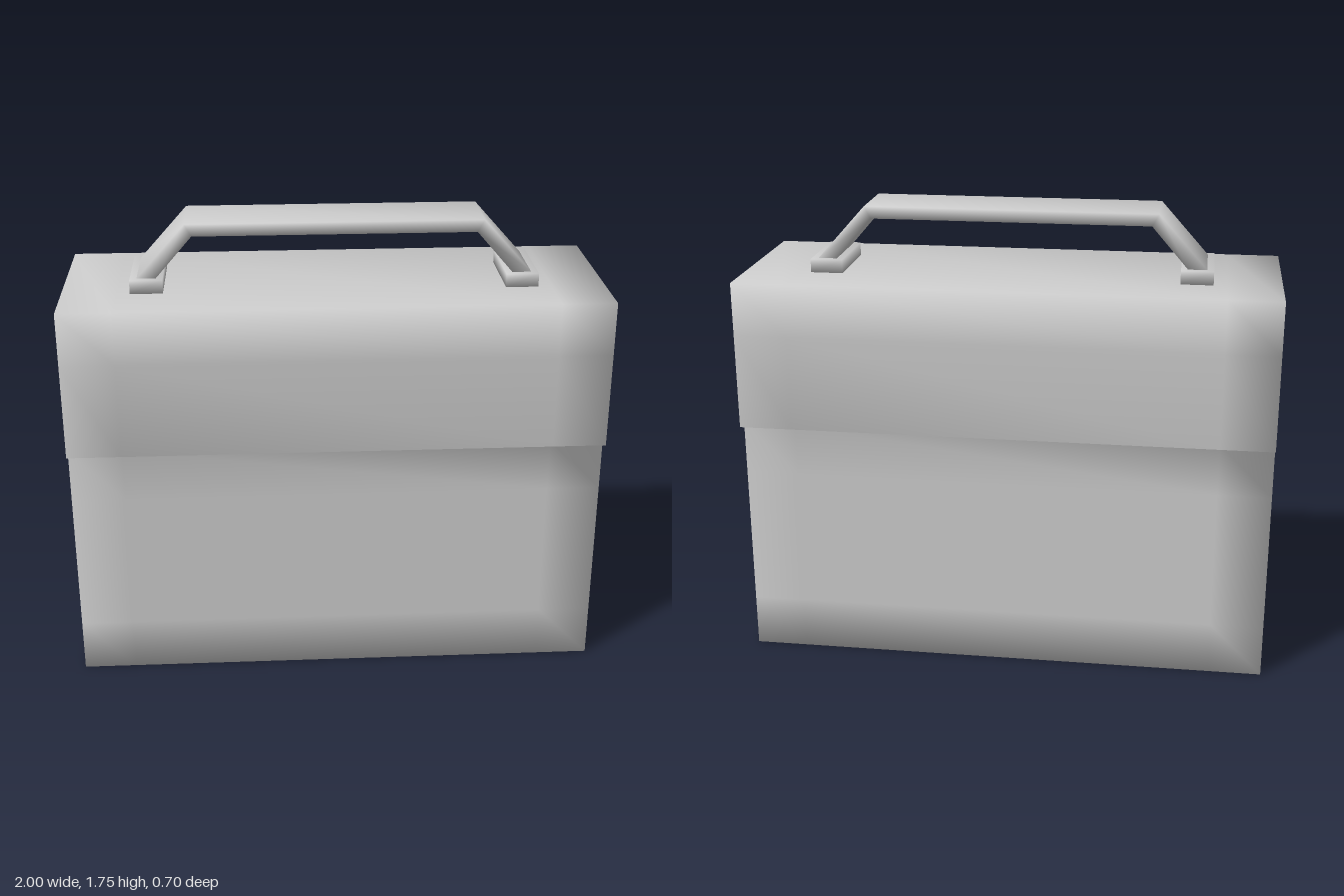
import * as THREE from 'three';
import { mergeVertices } from 'three/addons/utils/BufferGeometryUtils.js';

const material = new THREE.MeshStandardMaterial({ color: 0xcccccc });

// Share vertices so shading runs smoothly across every edge
function weld(geometry) {
  geometry.deleteAttribute('normal');
  geometry.deleteAttribute('uv');
  const welded = mergeVertices(geometry, 1e-4);
  welded.computeVertexNormals();
  return welded;
}

function part(name, geometry) {
  const mesh = new THREE.Mesh(weld(geometry), material);
  mesh.name = name;
  return mesh;
}

// Case cross-section as [half depth, height], from the base to the lid
const SECTION = [[0.3, 0], [0.3, 0.2], [0.3, 0.74], [0.3, 0.94], [0.35, 0.94], [0.35, 1.3], [0.35, 1.5]];
const STATIONS = [-1, -0.8, 0.8, 1];
const SOCKET = { radius: 0.143, depth: 0.1, heights: [0.468, 1.09] };

function caseGeometry() {
  const positions = [];
  // u runs towards -z so that outlines are counter-clockwise seen from +x
  const tri = (...corners) => corners.forEach(([x, p]) => positions.push(x, p.y, -p.x));
  const strip = (x0, x1, p, q) => {
    tri([x0, p], [x0, q], [x1, q]);
    tri([x0, p], [x1, q], [x1, p]);
  };
  const v = (u, y) => new THREE.Vector2(u, y);

  // Front, back, top, bottom and the ledge under the lid
  const outline = [
    ...SECTION.map(([d, y]) => v(d, y)),
    ...SECTION.map(([d, y]) => v(-d, y)).reverse(),
  ];
  outline.forEach((p, i) => {
    const q = outline[(i + 1) % outline.length];
    for (let s = 0; s < STATIONS.length - 1; s++) strip(STATIONS[s], STATIONS[s + 1], p, q);
  });

  // Octagonal sockets sunk into the +x end
  const floor = 1 - SOCKET.depth;
  const rings = SOCKET.heights.map((y) => {
    const ring = Array.from({ length: 8 }, (_, k) => {
      const a = (k * Math.PI) / 4;
      return v(SOCKET.radius * Math.cos(a), y + SOCKET.radius * Math.sin(a));
    });
    ring.forEach((p, k) => {
      const q = ring[(k + 1) % 8];
      strip(floor, 1, q, p);
      tri([floor, v(0, y)], [floor, p], [floor, q]);
    });
    return { y, ring };
  });

  // End walls in horizontal bands, the +x one pierced by the sockets
  for (let i = 0; i < SECTION.length - 1; i++) {
    const [d0, y0] = SECTION[i], [d1, y1] = SECTION[i + 1];
    if (y0 === y1) continue;
    const band = [v(d0, y0), v(d1, y1), v(-d1, y1), v(-d0, y0)];
    for (const x of [-1, 1]) {
      const holes = x < 0 ? [] : rings.filter((r) => r.y > y0 && r.y < y1).map((r) => [...r.ring].reverse());
      const points = [...band, ...holes.flat()];
      THREE.ShapeUtils.triangulateShape(band, holes).forEach((face) => {
        const corners = face.map((k) => [x, points[k]]);
        tri(...(x < 0 ? corners.reverse() : corners));
      });
    }
  }

  const geometry = new THREE.BufferGeometry();
  geometry.setAttribute('position', new THREE.Float32BufferAttribute(positions, 3));
  return geometry;
}

export function createModel() {
  const group = new THREE.Group();
  group.name = 'carryCase';
  group.add(part('caseBody', caseGeometry()));

  // Pads under the handle feet
  for (const side of [1, -1]) {
    const pad = part(side > 0 ? 'leftHandlePad' : 'rightHandlePad', new THREE.BoxGeometry(0.12, 0.05, 0.3));
    pad.position.set(side * 0.69, 1.525, 0);
    group.add(pad);
  }

  // Flat strap handle with sloping ends
  const half = [[0.655, 1.55], [0.725, 1.55], [0.545, 1.75]];
  const inner = [0.52, 1.705];
  const strap = [...half, ...half.map(([x, y]) => [-x, y]).reverse(), [-inner[0], inner[1]], inner];
  const shape = new THREE.Shape(strap.map(([x, y]) => new THREE.Vector2(x, y)));
  const handle = new THREE.ExtrudeGeometry(shape, { depth: 0.25, bevelEnabled: false });
  handle.translate(0, 0, -0.125);
  group.add(part('handle', handle));

  return group;
}
